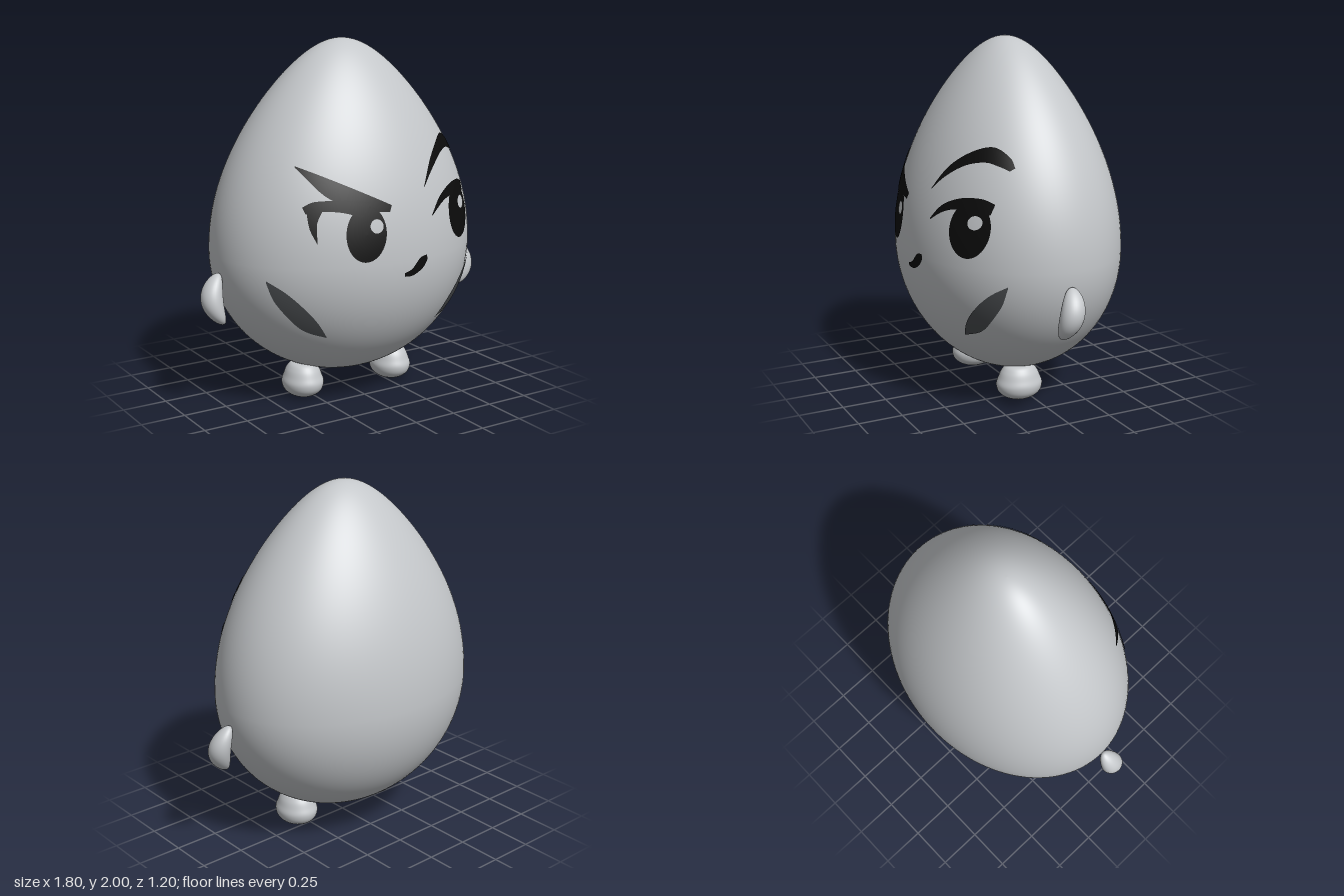
import * as THREE from 'three';
import { mergeVertices } from 'three/addons/utils/BufferGeometryUtils.js';

const WIDTH = 0.783, DEPTH = 0.6, MID = 0.85, UP = 1.15, DOWN = 0.725;

// Relative radius of the egg at height y (1 at its widest)
function eggRadius(y) {
  const t = y > MID ? (y - MID) / UP : (MID - y) / DOWN;
  const r = Math.sqrt(Math.max(0, 1 - t * t));
  return y > MID ? r * (1 - 0.3 * t * t) : r;
}

// Depth of the egg's front surface, lifted slightly for painted details
function frontZ(x, y, lift) {
  const r = eggRadius(y) * lift;
  return DEPTH * Math.sqrt(Math.max(0, r * r - (x / WIDTH) ** 2));
}

export function createModel() {
  const group = new THREE.Group();
  const mat = (name, color, side = THREE.FrontSide) => {
    const m = new THREE.MeshStandardMaterial({ color, side });
    m.name = name;
    return m;
  };
  const shell = mat('shell grey', 0xc4c7ca);
  const black = mat('ink black', 0x0b0b0b, THREE.DoubleSide);
  const blush = mat('cheek grey', 0x4a4d50, THREE.DoubleSide);
  const glint = mat('glint grey', 0xc6c9cc, THREE.DoubleSide);
  const add = (name, geometry, material) => {
    const mesh = new THREE.Mesh(geometry, material);
    mesh.name = name;
    group.add(mesh);
    return mesh;
  };

  // Egg body
  const profile = [];
  for (let i = 0; i <= 80; i++) {
    const a = -Math.PI / 2 + (Math.PI * i) / 80, s = Math.sin(a);
    const y = MID + s * (s > 0 ? UP : DOWN);
    profile.push(new THREE.Vector2(i % 80 ? eggRadius(y) : 0, y));
  }
  add('body', new THREE.LatheGeometry(profile, 112).scale(WIDTH, 1, DEPTH), shell);

  // Painted strip between two edge curves, wrapped on the egg
  const curve = (pts) => new THREE.SplineCurve(pts.map(([x, y]) => new THREE.Vector2(x, y)));
  function strip(name, upper, lower, material, lift = 1.008) {
    const g = new THREE.PlaneGeometry(1, 1, 32, 6);
    const a = curve(upper), b = curve(lower), p = g.attributes.position, uv = g.attributes.uv;
    for (let i = 0; i < p.count; i++) {
      const q = b.getPoint(uv.getX(i)).lerp(a.getPoint(uv.getX(i)), uv.getY(i));
      p.setXYZ(i, q.x, q.y, frontZ(q.x, q.y, lift));
    }
    g.computeVertexNormals();
    add(name, g, material);
  }
  // Painted oval wrapped on the egg
  function oval(name, cx, cy, rx, ry, tilt, material, lift = 1.008) {
    const g = new THREE.RingGeometry(0, 1, 48, 6).scale(rx, ry, 1).rotateZ(tilt).translate(cx, cy, 0);
    const p = g.attributes.position;
    for (let i = 0; i < p.count; i++) p.setZ(i, frontZ(p.getX(i), p.getY(i), lift));
    g.computeVertexNormals();
    add(name, g, material);
  }

  // Eyes with glints
  oval('rightEye', -0.2, 1.02, 0.11, 0.146, -0.12, black);
  oval('rightGlint', -0.145, 1.06, 0.037, 0.037, 0, glint, 1.014);
  oval('leftEye', 0.48, 1.055, 0.106, 0.147, 0.05, black);
  oval('leftGlint', 0.512, 1.098, 0.036, 0.036, 0, glint, 1.014);

  // Brows, lashes and mouth
  strip('rightBrow',
    [[-0.495, 1.373], [-0.39, 1.325], [-0.2, 1.235], [-0.045, 1.16]],
    [[-0.495, 1.365], [-0.39, 1.225], [-0.24, 1.15], [-0.06, 1.125]], black);
  strip('rightLash',
    [[-0.5, 1.17], [-0.44, 1.198], [-0.31, 1.2], [-0.16, 1.185]],
    [[-0.49, 1.135], [-0.42, 1.148], [-0.32, 1.14], [-0.22, 1.11]], black, 1.009);
  strip('rightLashTail',
    [[-0.41, 1.155], [-0.445, 1.085], [-0.45, 0.985]],
    [[-0.485, 1.145], [-0.48, 1.06], [-0.452, 0.985]], black);
  strip('leftBrow',
    [[0.188, 1.23], [0.27, 1.355], [0.37, 1.44], [0.46, 1.473], [0.54, 1.43], [0.58, 1.378]],
    [[0.188, 1.225], [0.27, 1.305], [0.37, 1.373], [0.46, 1.397], [0.525, 1.382], [0.57, 1.362]], black);
  strip('leftLash',
    [[0.225, 1.077], [0.3, 1.16], [0.405, 1.21], [0.51, 1.22], [0.575, 1.198]],
    [[0.225, 1.07], [0.31, 1.125], [0.39, 1.15], [0.485, 1.145], [0.57, 1.145]], black, 1.009);
  strip('mouth',
    [[0.02, 0.79], [0.07, 0.808], [0.125, 0.86], [0.172, 0.87]],
    [[0.022, 0.77], [0.08, 0.77], [0.145, 0.802], [0.178, 0.845]], black);

  // Cheek stripes, mirrored
  const cheekTop = [[-0.664, 0.78], [-0.57, 0.705], [-0.44, 0.565], [-0.357, 0.45]];
  const cheekLow = [[-0.664, 0.77], [-0.615, 0.65], [-0.49, 0.505], [-0.357, 0.447]];
  const mirror = (pts) => pts.map(([x, y]) => [-x, y]).reverse();
  strip('rightCheek', cheekTop, cheekLow, blush);
  strip('leftCheek', mirror(cheekTop), mirror(cheekLow), blush);

  // Bean-shaped arms and domed feet
  const footProfile = new THREE.SplineCurve([
    [0, 0.005], [0.06, 0.014], [0.102, 0.046], [0.115, 0.09],
    [0.104, 0.13], [0.088, 0.17], [0.06, 0.199], [0, 0.206],
  ].map(([x, y]) => new THREE.Vector2(x, y))).getPoints(36);
  footProfile.forEach((p) => { p.x = Math.max(0, p.x); });
  footProfile[0].x = footProfile[36].x = 0;
  for (const [name, side] of [['left', 1], ['right', -1]]) {
    let arm = new THREE.SphereGeometry(1, 32, 24).scale(0.06, 0.137, 0.066);
    const p = arm.attributes.position;
    for (let i = 0; i < p.count; i++) {
      const y = p.getY(i);
      p.setXYZ(i, side * 0.84 + p.getX(i) - side * 2.6 * y * y, y + 0.637, p.getZ(i) + 0.04 - 0.18 * y);
    }
    arm.deleteAttribute('uv');
    arm.deleteAttribute('normal');
    arm = mergeVertices(arm);
    arm.computeVertexNormals();
    add(name + 'Arm', arm, shell);

    const foot = add(name + 'Foot', new THREE.LatheGeometry(footProfile, 40).scale(1, 1, 1.15), shell);
    foot.position.set(side * 0.298, 0, 0.065);
  }
  return group;
}
